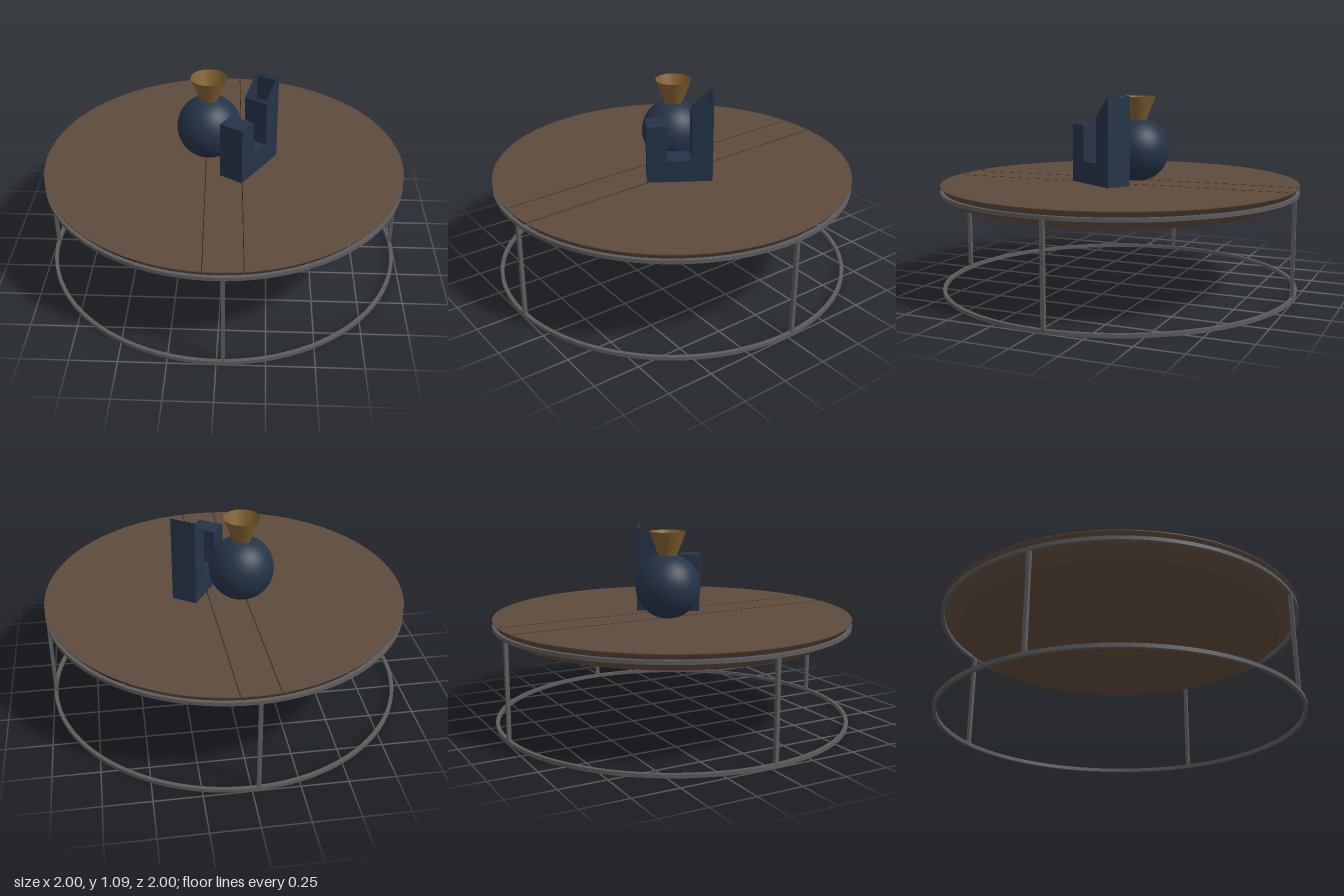
import * as THREE from 'three';

const mat = (name, color) => Object.assign(new THREE.MeshStandardMaterial({ color }), { name });

export function createModel() {
  const root = new THREE.Group();
  const wood = mat('brown wood', 0x5e4b3b);
  const seamDark = mat('dark seam', 0x2b211a);
  const metal = mat('grey metal', 0x5c5c5e);
  const navy = mat('navy ceramic', 0x253347);
  const gold = mat('aged gold', 0x80602f);
  gold.side = THREE.DoubleSide;

  const add = (parent, name, geometry, material, x = 0, y = 0, z = 0) => {
    const mesh = new THREE.Mesh(geometry, material);
    mesh.name = name;
    mesh.position.set(x, y, z);
    parent.add(mesh);
    return mesh;
  };
  // extrudes a side outline, centred across its thickness
  const slab = (points, thickness) => {
    const shape = new THREE.Shape(points.map(([x, y]) => new THREE.Vector2(x, y)));
    const g = new THREE.ExtrudeGeometry(shape, { depth: thickness, bevelEnabled: false });
    return g.translate(0, 0, -thickness / 2);
  };

  const table = new THREE.Group();
  table.name = 'table';
  table.rotation.y = 0.035;
  root.add(table);

  // round top with a sloping underside
  add(table, 'tabletopEdge', new THREE.CylinderGeometry(1, 1, 0.005, 128), wood, 0, 0.5955, 0);
  add(table, 'tabletopUnderside', new THREE.CylinderGeometry(0.998, 0.9, 0.098, 128), wood, 0, 0.544, 0);
  for (const x of [-0.1, 0.1]) {
    add(table, 'plankSeam', new THREE.BoxGeometry(0.004, 0.004, 1.985), seamDark, x, 0.5968, 0);
  }

  // square-section rings and four legs
  const ringShape = new THREE.Shape().absarc(0, 0, 1, 0, Math.PI * 2);
  ringShape.holes.push(new THREE.Path().absarc(0, 0, 0.98, 0, Math.PI * 2, true));
  const ring = new THREE.ExtrudeGeometry(ringShape, { depth: 0.02, bevelEnabled: false, curveSegments: 96 });
  ring.rotateX(-Math.PI / 2);
  add(table, 'bottomRing', ring, metal);
  add(table, 'upperRing', ring, metal, 0, 0.546, 0);
  for (let i = 0; i < 4; i++) {
    const a = (i * Math.PI) / 2;
    const leg = add(table, 'leg', new THREE.BoxGeometry(0.02, 0.53, 0.02), metal,
      Math.sin(a) * 0.989, 0.283, Math.cos(a) * 0.989);
    leg.rotation.y = a;
  }

  // round vase with an open flared neck
  const vase = new THREE.Group();
  vase.name = 'vase';
  vase.position.set(-0.085, 0, -0.072);
  root.add(vase);
  add(vase, 'vaseBody', new THREE.SphereGeometry(0.179, 48, 32), navy, 0, 0.771, 0);
  add(vase, 'vaseNeck', new THREE.CylinderGeometry(0.1, 0.05, 0.132, 48, 1, true), gold, 0, 1.006, 0);

  // stepped block: low arm, notch and a hollow tall arm with a slanted mouth
  const block = new THREE.Group();
  block.name = 'steppedBlock';
  block.position.set(0.14, 0, 0.055);
  block.rotation.y = 1.01;
  root.add(block);
  const e = 0.178, low = -0.067, tall = 0.064, floor = 0.9, w = 0.014;
  add(block, 'blockBody', slab([
    [-e, 0.597], [e, 0.597], [e, floor], [tall, floor], [tall, 0.72], [low, 0.72], [low, 0.92], [-e, 0.92],
  ], 0.142), navy);
  const mouth = (x) => 0.972 + ((x - tall) / (e - tall)) * 0.113;
  const wall = (x0, x1) => [[x0, floor], [x1, floor], [x1, mouth(x1)], [x0, mouth(x0)]];
  for (const s of [-1, 1]) add(block, 'tallArmSide', slab(wall(tall, e), w), navy, 0, 0, s * (0.071 - w / 2));
  add(block, 'tallArmFront', slab(wall(tall, tall + w), 0.142 - 2 * w), navy);
  add(block, 'tallArmBack', slab(wall(e - w, e), 0.142 - 2 * w), navy);

  return root;
}
